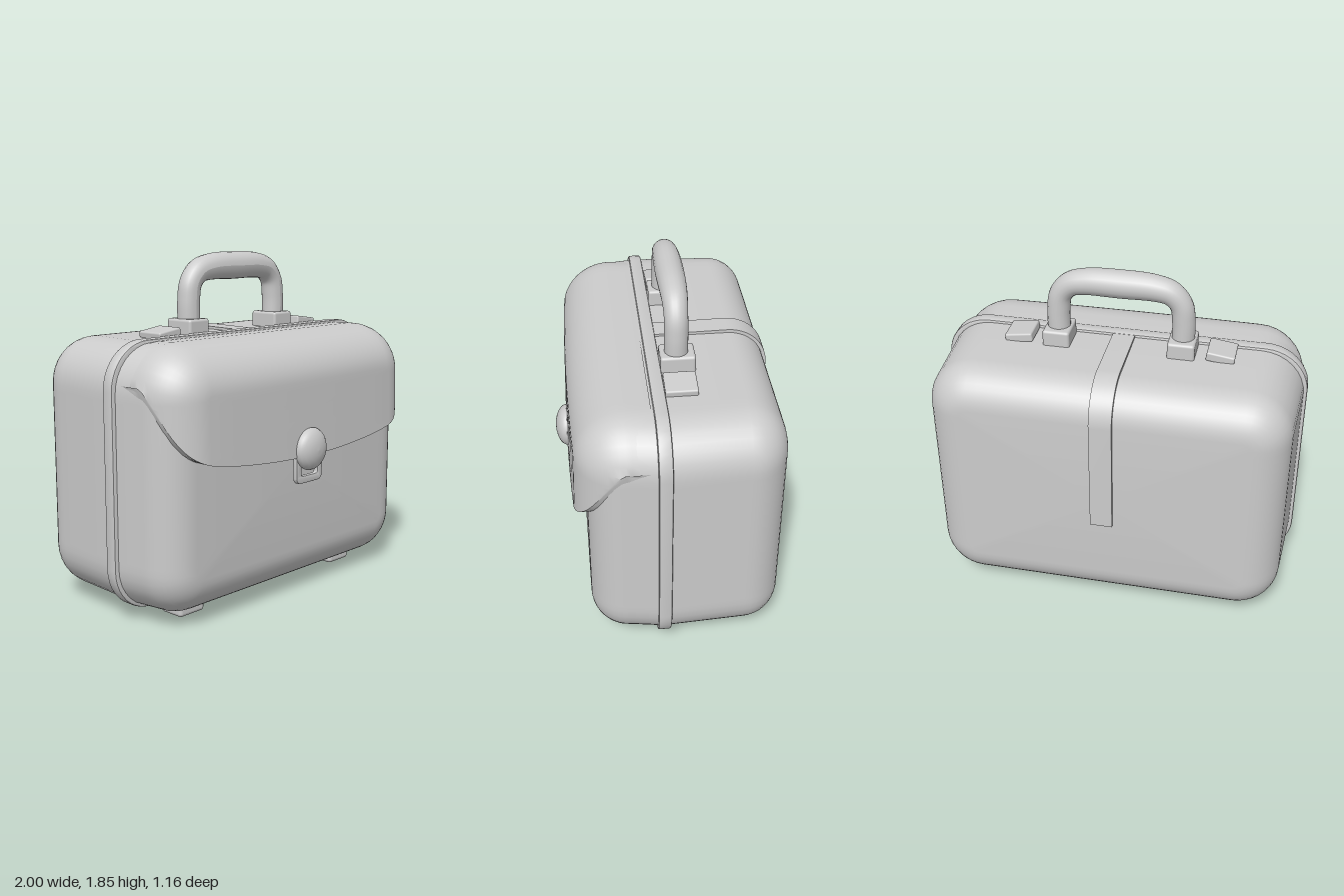
import * as THREE from 'three';
import { toCreasedNormals } from 'three/addons/utils/BufferGeometryUtils.js';
import { RoundedBoxGeometry } from 'three/addons/geometries/RoundedBoxGeometry.js';

const grey = new THREE.MeshStandardMaterial({ color: 0xcccccc });
const greyDouble = new THREE.MeshStandardMaterial({ color: 0xcccccc, side: THREE.DoubleSide });
const V = (x, y, z) => new THREE.Vector3(x, y, z);

// Rounded rectangle loop at depth z, counter-clockwise from the front
function roundedRing(hx, y0, y1, r, z, arcSteps = 8, sideSteps = 24) {
  const corners = [[hx - r, y1 - r], [r - hx, y1 - r], [r - hx, y0 + r], [hx - r, y0 + r]];
  const at = (c, k) => {
    const a = (c + k / arcSteps) * Math.PI / 2;
    return V(corners[c][0] + r * Math.cos(a), corners[c][1] + r * Math.sin(a), z);
  };
  const points = [];
  for (let c = 0; c < 4; c++) {
    for (let k = 0; k <= arcSteps; k++) points.push(at(c, k));
    const from = at(c, arcSteps), to = at((c + 1) % 4, 0);
    for (let k = 1; k < sideSteps; k++) points.push(from.clone().lerp(to, k / sideSteps));
  }
  return points;
}

// Skin joining equal-length loops ordered from back to front
function loft(rings, crease = 0.6) {
  const n = rings[0].length, index = [];
  for (let i = 0; i < rings.length - 1; i++) {
    for (let j = 0; j < n; j++) {
      const k = (j + 1) % n;
      const a = i * n + j, b = i * n + k, c = b + n, d = a + n;
      index.push(a, b, c, a, c, d);
    }
  }
  const geometry = new THREE.BufferGeometry().setFromPoints(rings.flat());
  geometry.setIndex(index);
  return toCreasedNormals(geometry, crease);
}

// Case body: slightly tapered rounded box
function bodyGeometry() {
  const R = 0.2, steps = 10, profile = [];
  for (let i = 0; i <= steps; i++) {
    const a = (1 - i / steps) * Math.PI / 2;
    profile.push([-0.36 - R * Math.sin(a), 0.958, R * (1 - Math.cos(a))]);
  }
  profile.push([0.03, 0.98, 0], [0.1, 0.977, 0]);
  for (let i = 0; i <= steps; i++) {
    const a = i / steps * Math.PI / 2;
    profile.push([0.24 + R * Math.sin(a), 0.955, R * (1 - Math.cos(a))]);
  }
  const rings = profile.map(([z, hx, d]) =>
    roundedRing(hx - d, 0.058 + d, 1.42 - d, 0.24 - d, z));
  const cap = (z) => rings[0].map(() => V(0, 0.74, z));
  return loft([cap(-0.56), ...rings, cap(0.44)]);
}

// Front flap: swollen shell trimmed below by a curved hem
function flapGeometry() {
  const hem = (x) => {
    const t = Math.min(Math.abs(x) / 0.965, 1);
    return 0.79 + 0.1 * t ** 2 + 0.34 * t ** 14;
  };
  const swell = (p) => 0.025 * (1 - (p.x / 0.95) ** 2) + 0.03 * (1.1 - p.y);
  const trim = (ring, amount) => ring.map((p) => {
    p.y = Math.max(p.y, hem(p.x));
    p.z += amount * swell(p);
    return p;
  });
  const rings = [trim(roundedRing(0.966, 0.6, 1.424, 0.26, 0.11), 0)];
  const steps = 14;
  for (let i = 0; i <= steps; i++) {
    const a = i / steps * Math.PI / 2, d = 0.24 * (1 - Math.cos(a));
    rings.push(trim(roundedRing(0.967 - d, 0.6, 1.428 - d, 0.26 - d, 0.22 + 0.27 * Math.sin(a)), Math.sin(a)));
  }
  const edge = rings[rings.length - 1];
  for (const s of [0.8, 0.6, 0.4, 0.2, 0]) {
    rings.push(edge.map((p) => {
      const q = V(p.x * s, 1.02 + (p.y - 1.02) * s, 0.49);
      q.z += swell(q);
      return q;
    }));
  }
  return loft(rings);
}

function roundedShape(w, h, r, Type = THREE.Shape) {
  return new Type(roundedRing(w / 2, -h / 2, h / 2, r, 0, 10, 1).map((p) => new THREE.Vector2(p.x, p.y)));
}

// Handle: bent tube, thicker along the grip
function handleGeometry() {
  const path = new THREE.CatmullRomCurve3([
    V(-0.333, 1.46, 0), V(-0.333, 1.6, 0), V(-0.318, 1.69, 0), V(-0.265, 1.75, 0), V(-0.18, 1.772, 0),
    V(0, 1.776, 0),
    V(0.18, 1.772, 0), V(0.265, 1.75, 0), V(0.318, 1.69, 0), V(0.333, 1.6, 0), V(0.333, 1.46, 0),
  ]);
  const segments = 72, sides = 20;
  const geometry = new THREE.TubeGeometry(path, segments, 0.061, sides);
  const position = geometry.attributes.position, p = V(0, 0, 0);
  for (let i = 0; i < position.count; i++) {
    const centre = path.getPointAt(Math.floor(i / (sides + 1)) / segments);
    const grow = 1 + 0.23 * Math.max(0, 1 - (centre.x / 0.31) ** 2);
    p.fromBufferAttribute(position, i).sub(centre).multiplyScalar(grow).add(centre);
    position.setXYZ(i, p.x, p.y, p.z);
  }
  geometry.computeVertexNormals();
  return geometry;
}

// Back strap: thin band bent over the top rear edge
function strapGeometry() {
  const outer = 0.218, inner = 0.19, shape = new THREE.Shape();
  shape.moveTo(0.36 + inner, 0.595);
  shape.lineTo(0.36 + outer, 0.595);
  shape.lineTo(0.36 + outer, 1.22);
  shape.absarc(0.36, 1.22, outer, 0, Math.PI / 2, false);
  shape.lineTo(-0.03, 1.22 + outer - 0.006);
  shape.lineTo(-0.03, 1.22 + inner);
  shape.lineTo(0.36, 1.22 + inner);
  shape.absarc(0.36, 1.22, inner, Math.PI / 2, 0, true);
  const geometry = new THREE.ExtrudeGeometry(shape, { depth: 0.12, bevelEnabled: false, curveSegments: 14 });
  geometry.translate(0, 0, -0.06).rotateY(Math.PI / 2);
  return toCreasedNormals(geometry, 0.6);
}

export function createModel() {
  const model = new THREE.Group();
  model.name = 'briefcase';
  const add = (name, geometry, x = 0, y = 0, z = 0, material = grey) => {
    const mesh = new THREE.Mesh(geometry, material);
    mesh.name = name;
    mesh.position.set(x, y, z);
    model.add(mesh);
    return mesh;
  };

  add('body', bodyGeometry());
  add('frontFlap', flapGeometry(), 0, 0, 0, greyDouble);

  // Raised seam around the case
  const seam = new THREE.ExtrudeGeometry(roundedShape(1.98, 1.366, 0.23), {
    depth: 0.05, bevelThickness: 0.01, bevelSize: 0.01, bevelSegments: 2,
  });
  add('seamBand', toCreasedNormals(seam, 0.6), 0, 0.742, 0.039);

  add('backStrap', strapGeometry());
  add('handle', handleGeometry(), 0, 0, -0.053);

  // Mirrored fittings
  for (const side of [-1, 1]) {
    add('handleSocket', new RoundedBoxGeometry(0.145, 0.1, 0.18, 3, 0.015), side * 0.333, 1.455, -0.058);
    const latch = add('topLatch', new RoundedBoxGeometry(0.15, 0.05, 0.165, 3, 0.01), side * 0.54, 1.437, -0.053);
    latch.rotation.z = -side * 0.14;
    for (const z of [0.175, -0.305]) {
      add('foot', new RoundedBoxGeometry(0.175, 0.09, 0.15, 3, 0.02), side * 0.612, 0.045, z);
    }
  }

  // Clasp: domed button over a looped tab
  const dome = [[0, 0.083], [0.03, 0.081], [0.06, 0.074], [0.088, 0.061], [0.106, 0.045], [0.115, 0.027],
    [0.112, 0.012], [0.1, 0], [0, 0]].map(([r, h]) => new THREE.Vector2(r, h)).reverse();
  const button = new THREE.LatheGeometry(dome, 40);
  button.rotateX(Math.PI / 2);
  add('claspButton', button, 0, 0.827, 0.5);

  const tabShape = roundedShape(0.2, 0.2, 0.03);
  const slot = roundedShape(0.14, 0.06, 0.015, THREE.Path);
  slot.curves.forEach((c) => { c.v1 = c.v1.clone().setY(c.v1.y - 0.04); c.v2 = c.v2.clone().setY(c.v2.y - 0.04); });
  tabShape.holes.push(slot);
  const tab = new THREE.ExtrudeGeometry(tabShape, {
    depth: 0.018, bevelThickness: 0.005, bevelSize: 0.005, bevelSegments: 2,
  });
  add('claspTab', toCreasedNormals(tab, 0.6), 0, 0.75, 0.496);

  return model;
}
